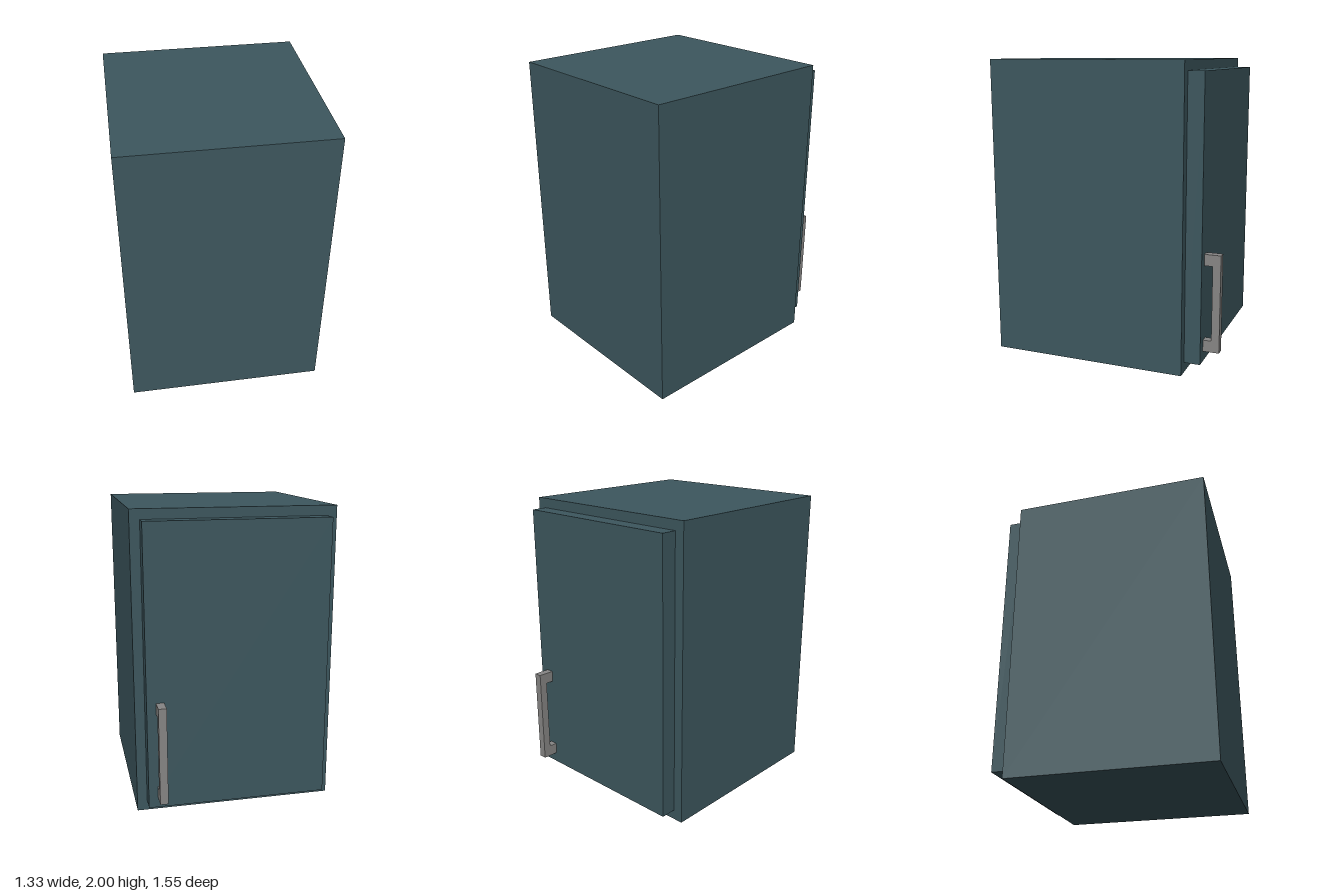
import * as THREE from 'three';

const teal = new THREE.MeshStandardMaterial({ color: 0x3d575e });
teal.name = 'cabinetTeal';
const grey = new THREE.MeshStandardMaterial({ color: 0x878685 });
grey.name = 'handleGrey';

// Box given by its lower and upper corners
function box(name, material, min, max) {
  const size = max.map((v, i) => v - min[i]);
  const mesh = new THREE.Mesh(new THREE.BoxGeometry(...size), material);
  mesh.position.set(...max.map((v, i) => (v + min[i]) / 2));
  mesh.name = name;
  return mesh;
}

export function createModel() {
  const cabinet = new THREE.Group();
  cabinet.name = 'cabinet';

  // Carcass, with the inset door slab standing off its back face
  cabinet.add(box('body', teal, [-0.665, 0, -0.56], [0.665, 2, 0.775]));
  cabinet.add(box('door', teal, [-0.6, 0.067, -0.667], [0.6, 1.935, -0.56]));

  // C-shaped pull handle: side profile (depth outward, height) extruded across x
  const profile = new THREE.Shape([
    [0.667, 0.138], [0.775, 0.138], [0.775, 0.79], [0.667, 0.79],
    [0.667, 0.715], [0.722, 0.715], [0.722, 0.215], [0.667, 0.215],
  ].map(([u, v]) => new THREE.Vector2(u, v)));
  const handle = new THREE.Mesh(
    new THREE.ExtrudeGeometry(profile, { depth: 0.053, bevelEnabled: false }), grey);
  handle.rotation.y = Math.PI / 2;
  handle.position.x = 0.487;
  handle.name = 'doorHandle';
  cabinet.add(handle);

  return cabinet;
}
